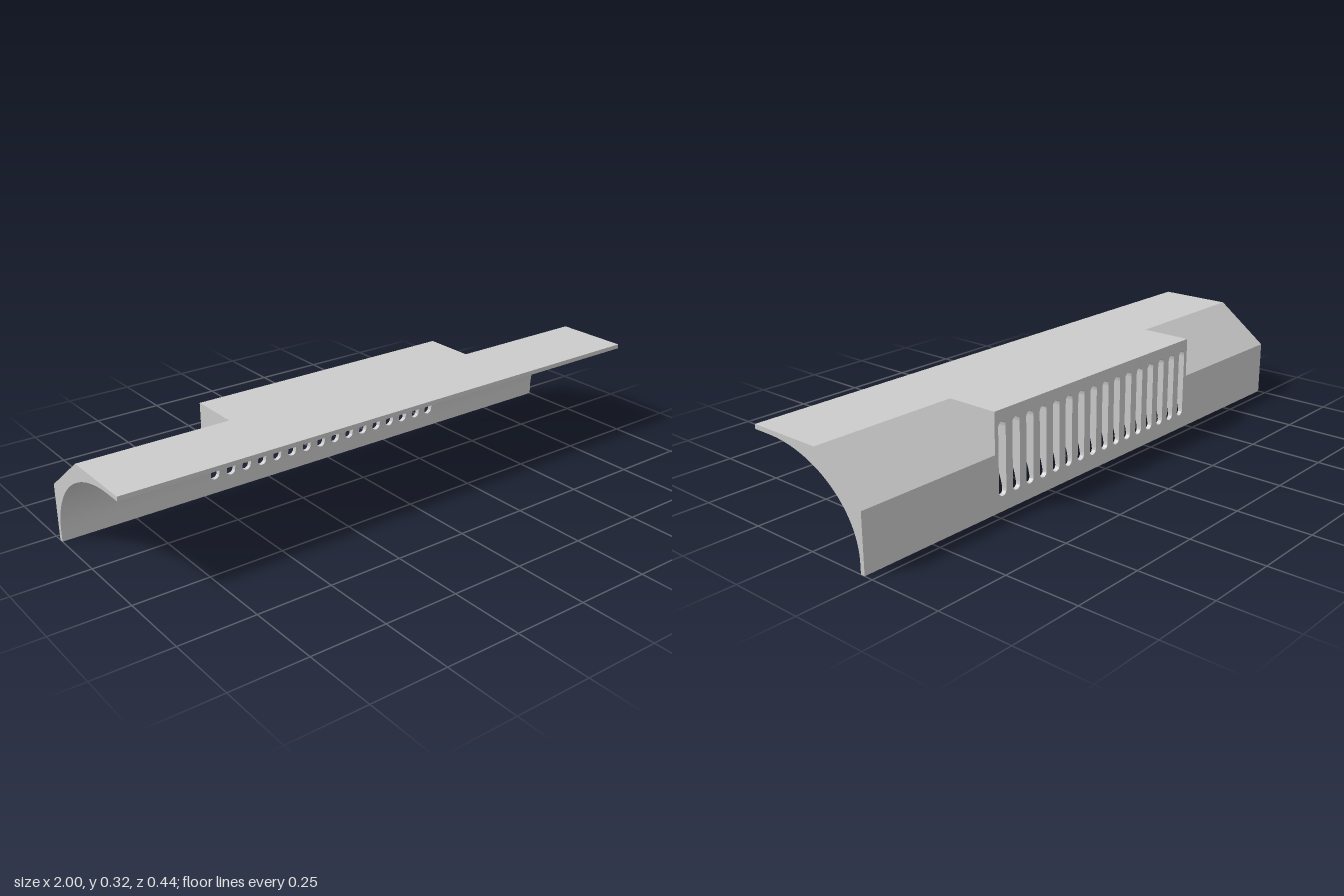
import * as THREE from 'three';
import { toCreasedNormals } from 'three/addons/utils/BufferGeometryUtils.js';

const BACK = -0.22, FRONT = 0.22, TOP = 0.325;
const BLOCK = 0.49;                                   // half width of the raised middle
const SLOTS = 16, PITCH = 0.0612, R = 0.016;          // vent slots
const SLOT_LOW = 0.05, SLOT_HIGH = 0.287;

// Concave front: a quarter ellipse, angle 0 at the bottom and PI/2 at the top
const arcPoint = (t) => [0.16 - 0.365 * Math.cos(t), 0.035 + 0.275 * Math.sin(t)];
const arcAngle = (y) => Math.asin((y - 0.035) / 0.275);
const arc = (t0, t1, n = 40) =>
  Array.from({ length: n + 1 }, (_, i) => arcPoint(t0 + ((t1 - t0) * i) / n));

const material = new THREE.MeshStandardMaterial({ color: 0xcccccc });

function addMesh(group, name, geometry) {
  const mesh = new THREE.Mesh(toCreasedNormals(geometry, 0.5), material);
  mesh.name = name;
  group.add(mesh);
}

// Extrude a (z, y) profile along x, from x0 to x1
function extrudeX(profile, x0, x1) {
  const shape = new THREE.Shape(profile.map(([z, y]) => new THREE.Vector2(z, y)));
  return new THREE.ExtrudeGeometry(shape, { depth: x1 - x0, bevelEnabled: false })
    .rotateY(-Math.PI / 2)
    .translate(x1, 0, 0);
}

// Heights and slot half widths, from the bottom of a slot to its top
function slotLevels() {
  const levels = [];
  const steps = 10, straight = 32;
  for (let i = 0; i <= steps; i++) {
    const a = (i / steps) * Math.PI / 2;
    levels.push([SLOT_LOW + R - R * Math.cos(a), R * Math.sin(a)]);
  }
  const y0 = SLOT_LOW + R, y1 = SLOT_HIGH - R;
  for (let i = 1; i < straight; i++) levels.push([y0 + ((y1 - y0) * i) / straight, R]);
  for (let i = 0; i <= steps; i++) {
    const a = (i / steps) * Math.PI / 2;
    levels.push([y1 + R * Math.sin(a), R * Math.cos(a)]);
  }
  return levels;
}

// Bar beside the slots: a box whose sides follow the slot outline and front follows the arc
function slotBar(xa, xb, cutLeft, cutRight, levels) {
  const n = levels.length - 1;
  const geometry = new THREE.BoxGeometry(1, 1, 1, 1, n, 1);
  const p = geometry.attributes.position;
  for (let i = 0; i < p.count; i++) {
    const [y, w] = levels[Math.round((p.getY(i) + 0.5) * n)];
    const x = p.getX(i) < 0 ? xa + (cutLeft ? w : 0) : xb - (cutRight ? w : 0);
    const z = p.getZ(i) < 0 ? BACK : arcPoint(arcAngle(y))[0];
    p.setXYZ(i, x, y, z);
  }
  return geometry;
}

export function createModel() {
  const model = new THREE.Group();
  model.name = 'ventedCoveMoulding';

  // Chamfered end sections
  const endProfile = [
    [BACK, 0], [-0.205, 0], ...arc(0, Math.PI / 2, 64),
    [FRONT, 0.31], [FRONT, TOP], [-0.04, TOP], [BACK, 0.19],
  ];
  addMesh(model, 'rightEnd', extrudeX(endProfile, -1, -BLOCK));
  addMesh(model, 'leftEnd', extrudeX(endProfile, BLOCK, 1));

  // Solid middle below and above the slots
  const tLow = arcAngle(SLOT_LOW), tHigh = arcAngle(SLOT_HIGH);
  const lower = [[BACK, 0], [-0.205, 0], ...arc(0, tLow, 4), [BACK, SLOT_LOW]];
  const upper = [
    [BACK, SLOT_HIGH], ...arc(tHigh, Math.PI / 2, 20),
    [FRONT, 0.31], [FRONT, TOP], [BACK, TOP],
  ];
  addMesh(model, 'middleLower', extrudeX(lower, -BLOCK, BLOCK));
  addMesh(model, 'middleUpper', extrudeX(upper, -BLOCK, BLOCK));

  // Bars between the vent slots
  const bars = new THREE.Group();
  bars.name = 'ventBars';
  const levels = slotLevels();
  const slotX = (i) => (i - (SLOTS - 1) / 2) * PITCH;
  for (let i = 0; i <= SLOTS; i++) {
    const xa = i === 0 ? -BLOCK : slotX(i - 1);
    const xb = i === SLOTS ? BLOCK : slotX(i);
    addMesh(bars, 'ventBar', slotBar(xa, xb, i > 0, i < SLOTS, levels));
  }
  model.add(bars);
  return model;
}
